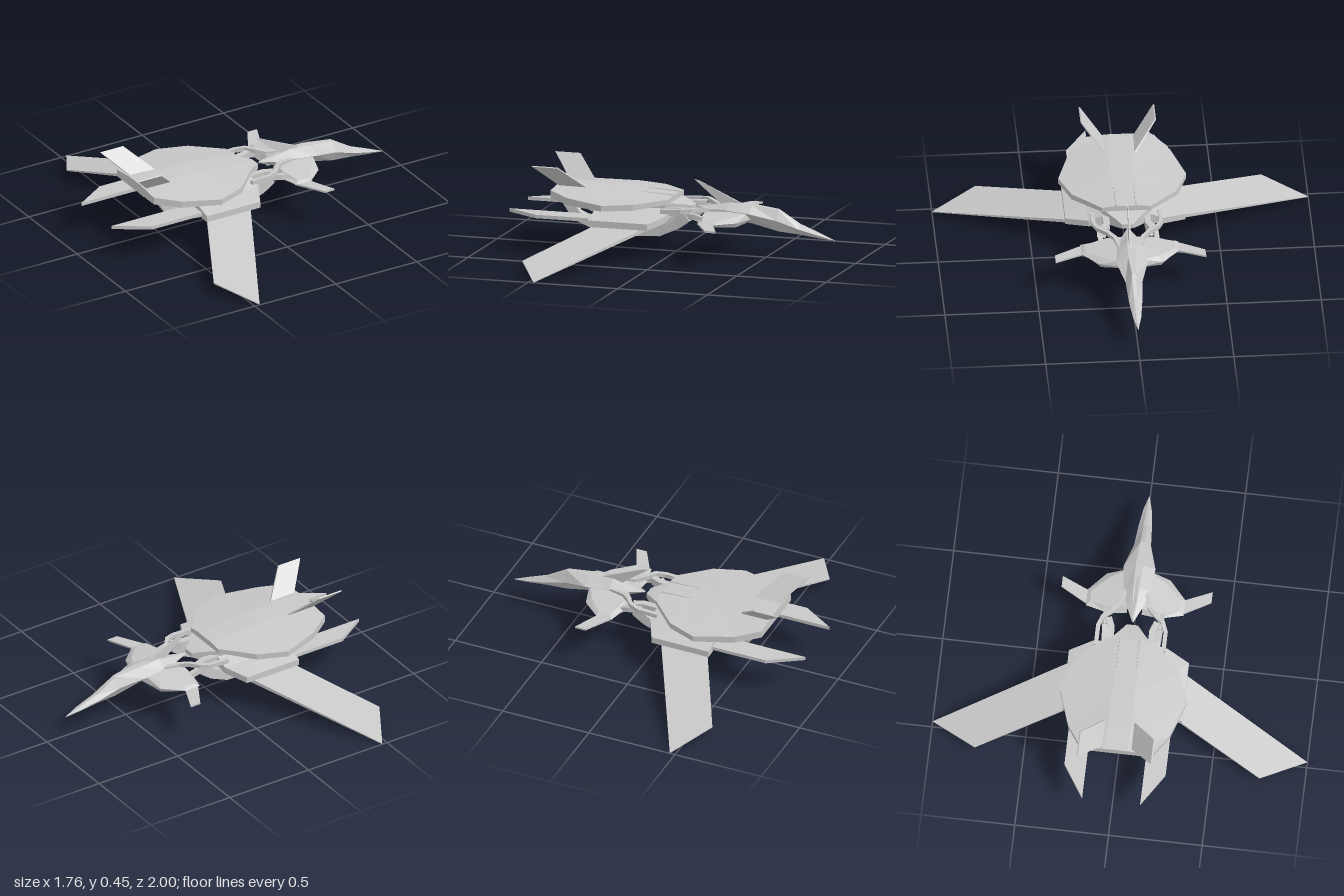
import * as THREE from 'three';

const hullGrey = new THREE.MeshStandardMaterial({ color: 0xc8c8c8, flatShading: true });
hullGrey.name = 'hullGrey';

// Skin a list of equal-length rings of [x, y, z] and cap both ends; winding is fixed by signed volume.
function loft(rings) {
  const tris = [];
  const n = rings[0].length;
  for (let i = 0; i < rings.length - 1; i++) {
    for (let j = 0; j < n; j++) {
      const k = (j + 1) % n;
      const [a, b, c, d] = [rings[i][j], rings[i][k], rings[i + 1][k], rings[i + 1][j]];
      tris.push([a, b, c], [a, c, d]);
    }
  }
  const cap = (ring, flip) => {
    const mid = [0, 1, 2].map(q => ring.reduce((s, p) => s + p[q], 0) / n);
    ring.forEach((p, j) => {
      const next = ring[(j + 1) % n];
      tris.push(flip ? [mid, next, p] : [mid, p, next]);
    });
  };
  cap(rings[0], true);
  cap(rings[rings.length - 1], false);
  let volume = 0;
  const V = p => new THREE.Vector3(...p);
  const origin = V(rings[0][0]);
  for (const [a, b, c] of tris) {
    volume += V(a).sub(origin).dot(V(b).sub(origin).cross(V(c).sub(origin)));
  }
  const points = tris.flatMap(([a, b, c]) => (volume < 0 ? [a, c, b] : [a, b, c])).flat();
  const geometry = new THREE.BufferGeometry();
  geometry.setAttribute('position', new THREE.Float32BufferAttribute(points, 3));
  geometry.computeVertexNormals();
  return geometry;
}

// Rings for a flat slab with an [x, z] outline.
const slab = (outline, y0, y1) => [y0, y1].map(y => outline.map(([x, z]) => [x, y, z]));

// Rings for a rectangular bar swept along a path.
function bar(path, width, height) {
  const pts = path.map(p => new THREE.Vector3(...p));
  return pts.map((p, i) => {
    const t = pts[Math.min(i + 1, pts.length - 1)].clone().sub(pts[Math.max(i - 1, 0)]).normalize();
    const side = t.clone().cross(new THREE.Vector3(0, 1, 0)).normalize();
    const up = side.clone().cross(t);
    return [[1, 1], [1, -1], [-1, -1], [-1, 1]].map(([s, u]) =>
      p.clone().addScaledVector(side, s * width / 2).addScaledVector(up, u * height / 2).toArray());
  });
}

export function createModel() {
  const model = new THREE.Group();
  const add = (name, rings) => {
    const mesh = new THREE.Mesh(loft(rings), hullGrey);
    mesh.name = name;
    model.add(mesh);
  };
  const addPair = (name, rings) => {
    add(name + 'Left', rings);
    add(name + 'Right', rings.map(r => r.map(([x, y, z]) => [x, y, -z])));
  };

  // Broad faceted upper hull: x, half width, crown y, rim top y, rim bottom y
  add('upperHull', [
    [-0.64, 0.19, 0.338, 0.325, 0.285], [-0.52, 0.27, 0.336, 0.306, 0.268],
    [-0.31, 0.34, 0.328, 0.293, 0.262], [-0.15, 0.28, 0.32, 0.297, 0.265],
    [0, 0.13, 0.312, 0.305, 0.28]
  ].map(([x, w, crown, top, low]) => [
    [x, crown, -0.06], [x, crown, 0.06], [x, top, w], [x, low, w], [x, low, -w], [x, top, -w]
  ]));

  // Core body under the hull: x, half width, top y, bottom y
  add('coreBody', [
    [-0.5, 0.1, 0.28, 0.24], [-0.37, 0.15, 0.28, 0.2], [-0.02, 0.13, 0.285, 0.2],
    [0.06, 0.06, 0.27, 0.22], [0.1, 0.03, 0.26, 0.235]
  ].map(([x, w, top, low]) => [[x, top, -w], [x, top, w], [x, low, w], [x, low, -w]]));

  // Swept drooping main wings, tapering to a sharp tip
  addPair('wing', [
    [[-0.31, 0.195, 0.17], [-0.04, 0.195, 0.17], [-0.47, 0.004, 1], [-0.61, 0.062, 0.76]],
    [[-0.31, 0.172, 0.17], [-0.04, 0.172, 0.17], [-0.47, 0, 1], [-0.61, 0.055, 0.76]]
  ]);

  // Shoulder fairings above the wing roots
  addPair('wingFairing', [
    [[-0.39, 0.18, 0.1], [-0.39, 0.17, 0.32], [-0.06, 0.17, 0.32], [0, 0.19, 0.2], [0, 0.2, 0.1]],
    [[-0.39, 0.265, 0.1], [-0.39, 0.205, 0.32], [-0.06, 0.205, 0.32], [0, 0.225, 0.2], [0, 0.265, 0.1]]
  ]);

  // Long flat tail blades
  addPair('tailBlade', slab(
    [[-0.88, 0.155], [-0.7, 0.27], [-0.12, 0.27], [-0.05, 0.155]], 0.186, 0.205));

  // Canted tail fins
  addPair('tailFin', [
    [[-0.6, 0.31, 0.055], [-0.45, 0.31, 0.055], [-0.6, 0.452, 0.195], [-0.74, 0.452, 0.195]],
    [[-0.6, 0.306, 0.065], [-0.45, 0.306, 0.065], [-0.6, 0.448, 0.201], [-0.74, 0.448, 0.201]]
  ]);

  // Low ridges along the hull crown
  addPair('crownRidge', [
    [[-0.17, 0.31, 0.045], [-0.17, 0.31, 0.06], [0, 0.3, 0.06], [0, 0.3, 0.045]],
    [[-0.17, 0.324, 0.05], [-0.17, 0.324, 0.055], [0, 0.318, 0.055], [0, 0.318, 0.05]]
  ]);

  // Underslung arms running from the nose, below the core and up to the tail
  addPair('lowerArm', bar([
    [-0.57, 0.28, 0.13], [-0.51, 0.19, 0.13], [-0.4, 0.145, 0.13], [-0.22, 0.127, 0.13],
    [-0.05, 0.135, 0.13], [0.05, 0.18, 0.135], [0.11, 0.225, 0.14]
  ], 0.045, 0.055));
  addPair('neckArm', bar([
    [-0.03, 0.25, 0.18], [0.08, 0.255, 0.18], [0.13, 0.26, 0.16], [0.17, 0.258, 0.11],
    [0.21, 0.25, 0.075], [0.32, 0.245, 0.05]
  ], 0.022, 0.022));
  addPair('neckBlock', bar([[-0.04, 0.235, 0.11], [0.08, 0.24, 0.11], [0.13, 0.24, 0.13]], 0.035, 0.04));
  addPair('neckBrace', bar([[0.1, 0.225, 0.14], [0.15, 0.225, 0.15], [0.22, 0.205, 0.15]], 0.025, 0.03));

  // Forward fuselage with pointed nose: x, half width, top y, edge y, bottom y
  add('noseFuselage', [
    [0.12, 0.004, 0.255, 0.25, 0.245], [0.2, 0.04, 0.265, 0.25, 0.215],
    [0.3, 0.07, 0.286, 0.252, 0.2], [0.43, 0.085, 0.28, 0.245, 0.18],
    [0.57, 0.045, 0.265, 0.21, 0.146], [0.69, 0.036, 0.192, 0.17, 0.136],
    [0.8, 0.022, 0.15, 0.14, 0.122], [0.88, 0.002, 0.118, 0.116, 0.114]
  ].map(([x, w, top, edge, low]) => [
    [x, top, -w * 0.25], [x, top, w * 0.25], [x, edge, w], [x, low, w * 0.15],
    [x, low, -w * 0.15], [x, edge, -w]
  ]));

  // Swept dorsal fin on the fuselage
  add('dorsalFin', [-1, 1].map(s => [
    [0.25, 0.275, 0.008 * s], [0.38, 0.275, 0.008 * s], [0.13, 0.39, 0.002 * s], [0.1, 0.397, 0.002 * s]
  ]));

  // Side pods beside the fuselage, narrower on top
  addPair('sidePod', [
    [[0.2, 0.19, 0.04], [0.19, 0.19, 0.14], [0.22, 0.195, 0.24], [0.28, 0.195, 0.24], [0.38, 0.185, 0.16], [0.4, 0.185, 0.04]],
    [[0.18, 0.21, 0.04], [0.17, 0.21, 0.14], [0.2, 0.21, 0.26], [0.29, 0.21, 0.26], [0.39, 0.21, 0.17], [0.43, 0.21, 0.04]],
    [[0.2, 0.25, 0.04], [0.19, 0.24, 0.12], [0.22, 0.222, 0.24], [0.28, 0.222, 0.24], [0.37, 0.235, 0.14], [0.42, 0.25, 0.04]]
  ]);

  // Small canards on the pods
  addPair('canard', slab([[0.2, 0.24], [0.29, 0.4], [0.35, 0.4], [0.28, 0.24]], 0.2, 0.21));

  return model;
}
